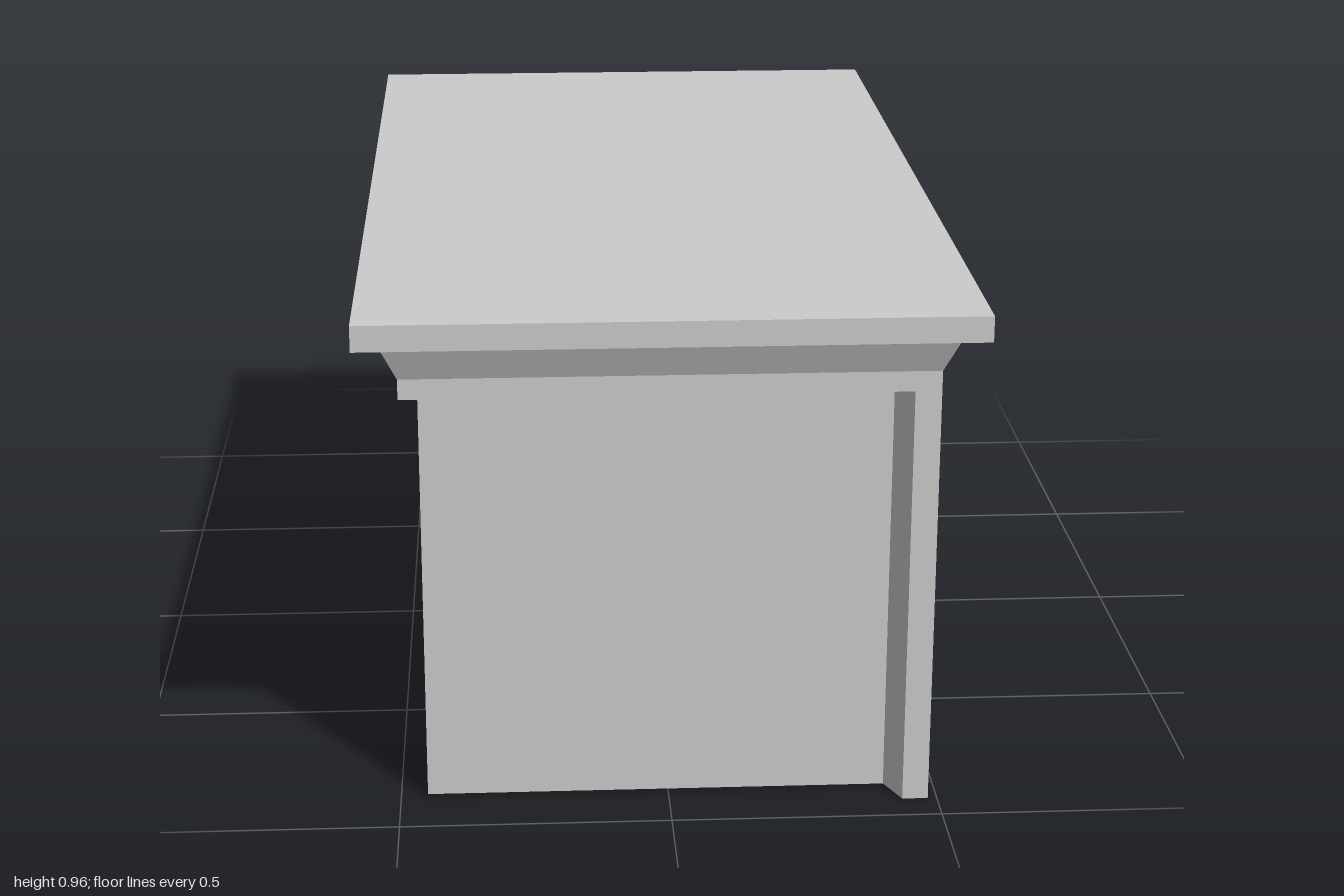
import * as THREE from 'three';

const material = new THREE.MeshStandardMaterial({ color: 0xcccccc, flatShading: true });

function add(group, name, geometry) {
  const mesh = new THREE.Mesh(geometry, material);
  mesh.name = name;
  group.add(mesh);
  return mesh;
}

// Box between two heights, centred on x and z
function slab(halfX, halfZ, y0, y1) {
  return new THREE.BoxGeometry(halfX * 2, y1 - y0, halfZ * 2).translate(0, (y0 + y1) / 2, 0);
}

// Upright prism from [x, z] corners
function prism(corners, y0, y1) {
  const shape = new THREE.Shape(corners.map(([x, z]) => new THREE.Vector2(x, -z)));
  return new THREE.ExtrudeGeometry(shape, { depth: y1 - y0, bevelEnabled: false })
    .rotateX(-Math.PI / 2).translate(0, y0, 0);
}

export function createModel() {
  const model = new THREE.Group();
  model.name = 'counter';

  const bodyX = 0.45, bodyZ = 0.885, bodyY = 0.01;
  const trimX = 0.483, trimZ = 0.935, trimY = 0.807;

  add(model, 'body', slab(bodyX, bodyZ, bodyY, 0.83));
  add(model, 'band', slab(trimX, trimZ, trimY, 0.845));
  add(model, 'top', slab(0.56, 1, 0.917, 0.965));

  // Cornice flares outward toward the top
  const cornice = slab(trimX, trimZ, 0.845, 0.917);
  const p = cornice.attributes.position;
  for (let i = 0; i < p.count; i++) {
    if (p.getY(i) > 0.88) {
      p.setX(i, Math.sign(p.getX(i)) * 0.515);
      p.setZ(i, Math.sign(p.getZ(i)) * 0.965);
    }
  }
  cornice.computeVertexNormals();
  add(model, 'cornice', cornice);

  for (const s of [1, -1]) {
    const end = s > 0 ? 'front' : 'back';

    // Corner post with splayed inner sides, its foot rising toward the body
    const post = prism([
      [trimX, s * trimZ], [0.435, s * trimZ], [0.405, s * bodyZ],
      [bodyX, s * bodyZ], [bodyX, s * 0.86], [trimX, s * 0.888],
    ], 0.003, trimY);
    const q = post.attributes.position;
    for (let i = 0; i < q.count; i++) {
      const onBody = q.getX(i) < bodyX + 0.001 && Math.abs(q.getZ(i)) < bodyZ + 0.001;
      if (q.getY(i) < 0.1 && onBody) q.setY(i, bodyY);
    }
    post.computeVertexNormals();
    add(model, end + 'CornerPost', post);

    // Pilaster on the long side
    add(model, end + 'Pilaster', prism([
      [bodyX, s * 0.605], [trimX, s * 0.605], [trimX, s * 0.507], [bodyX, s * 0.5],
    ], bodyY, trimY));

    // Slanted bracket between pilaster and top
    const profile = new THREE.Shape([
      [0.48, trimY], [0.505, trimY], [0.505, 0.845],
      [0.559, 0.917], [0.533, 0.917], [0.483, 0.85],
    ].map(([x, y]) => new THREE.Vector2(x, y)));
    const bracket = new THREE.ExtrudeGeometry(profile, { depth: 0.098, bevelEnabled: false });
    add(model, end + 'Bracket', bracket.translate(0, 0, s * 0.556 - 0.049));
  }
  return model;
}
